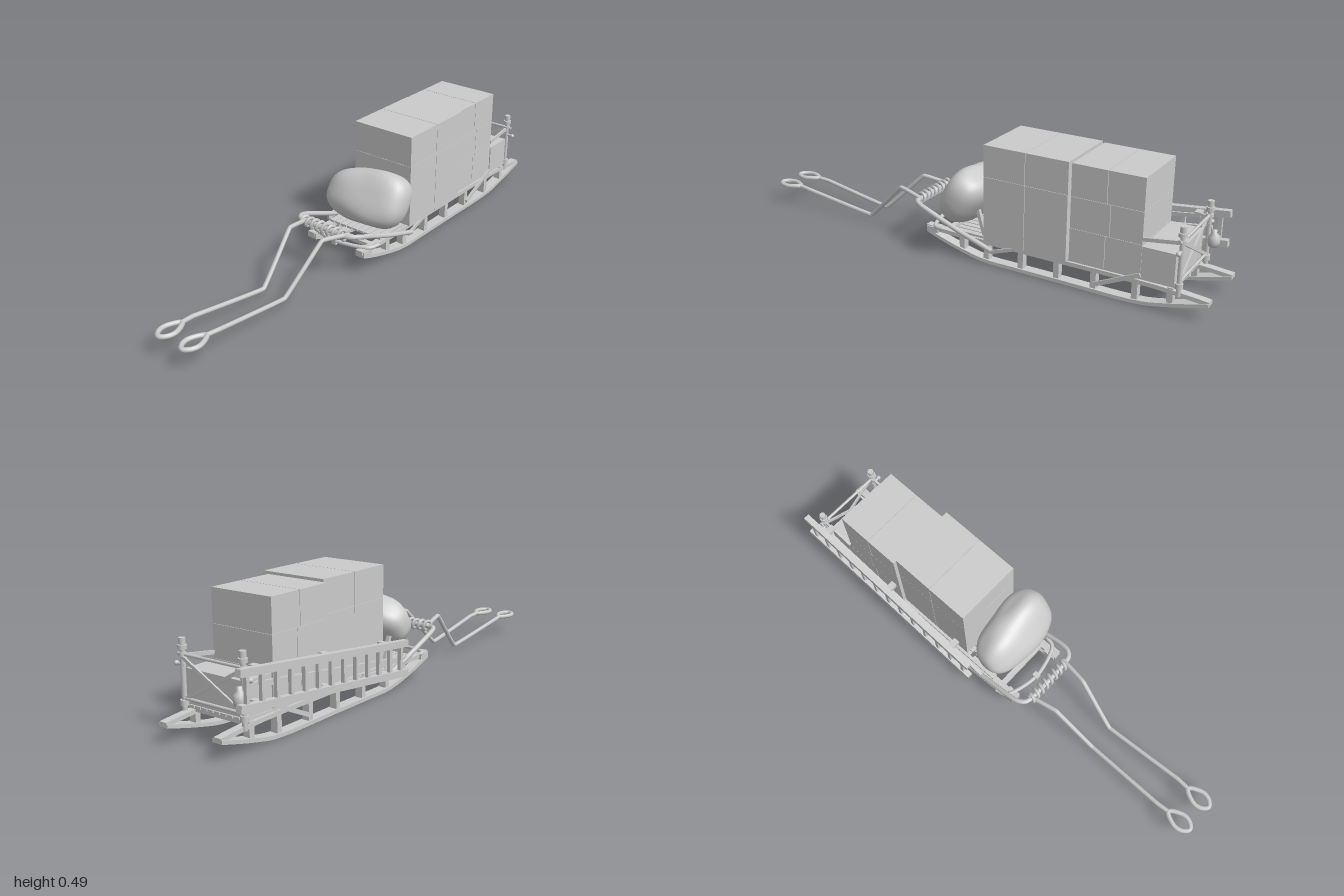
import * as THREE from 'three';

const mat = new THREE.MeshStandardMaterial({ color: 0xcccccc });
const flat = new THREE.MeshStandardMaterial({ color: 0xcccccc, flatShading: true });
const CX = -0.0125; // centre line of the sled
const V = (x, y, z) => new THREE.Vector3(x, y, z);

export function createModel() {
  const group = new THREE.Group();
  const add = (name, geo, m = mat) => {
    const mesh = new THREE.Mesh(geo, m);
    mesh.name = name;
    group.add(mesh);
    return mesh;
  };
  // box given by its limits
  const block = (name, x0, x1, y0, y1, z0, z1) =>
    add(name, new THREE.BoxGeometry(x1 - x0, y1 - y0, z1 - z0), flat)
      .position.set((x0 + x1) / 2, (y0 + y1) / 2, (z0 + z1) / 2);
  // square beam between two points
  const beam = (name, a, b, w, h = w) => {
    const m = add(name, new THREE.BoxGeometry(w, h, a.distanceTo(b)), flat);
    m.position.copy(a).add(b).multiplyScalar(0.5);
    m.lookAt(b);
  };
  // round rod between two points
  const rod = (name, a, b, r) => {
    const m = add(name, new THREE.CylinderGeometry(r, r, a.distanceTo(b), 8));
    m.position.copy(a).add(b).multiplyScalar(0.5);
    m.quaternion.setFromUnitVectors(V(0, 1, 0), b.clone().sub(a).normalize());
  };
  const tube = (name, pts, r, { n = 64, closed = false, tension = 0.5, sides = 8 } = {}) =>
    add(name, new THREE.TubeGeometry(
      new THREE.CatmullRomCurve3(pts, closed, 'catmullrom', tension), n, r, sides, closed));
  // curved strip in the z-y plane, extruded across x
  const strip = (name, x, width, thick, pts) => {
    const c = new THREE.SplineCurve(pts.map(p => new THREE.Vector2(...p))).getPoints(28);
    const top = c.map(p => new THREE.Vector2(p.x, p.y + thick)).reverse();
    const geo = new THREE.ExtrudeGeometry(new THREE.Shape([...c, ...top]),
      { depth: width, bevelEnabled: false });
    geo.translate(0, 0, -width / 2).rotateY(-Math.PI / 2);
    add(name, geo, flat).position.x = x;
  };

  // runners, upper rails, uprights and braces
  for (const s of [-1, 1]) {
    const x = CX + s * 0.1215;
    strip('runner', x, 0.042, 0.014, [[0.15, 0.07], [0.05, 0.037], [-0.1, 0.003], [-0.25, 0],
      [-0.45, 0], [-0.72, 0], [-0.85, 0.02], [-1, 0.058]]);
    strip('upperRail', x, 0.03, 0.016, [[0.155, 0.083], [0.05, 0.077], [-0.3, 0.076],
      [-0.75, 0.076], [-0.88, 0.07], [-1, 0.06]]);
    for (const z of [-0.01, -0.12, -0.27, -0.42, -0.57, -0.73, -0.86]) {
      const y0 = z > -0.05 ? 0.025 : z < -0.8 ? 0.024 : 0.008;
      block('upright', x - 0.014, x + 0.014, y0, 0.08, z - 0.011, z + 0.011);
    }
    beam('diagonalBrace', V(x + s * 0.018, 0.03, -0.57), V(x + s * 0.018, 0.115, -0.75), 0.008, 0.016);
    beam('diagonalBrace', V(x + s * 0.018, 0.05, -0.14), V(x + s * 0.018, 0.1, -0.28), 0.008, 0.014);
    block('runnerTip', x - 0.021, x + 0.021, 0.072, 0.094, 0.1, 0.15);
  }

  // deck: cross bars and lengthwise slats
  for (const z of [0.07, -0.01, -0.12, -0.27, -0.42, -0.57, -0.73, -0.86])
    block('crossBar', CX - 0.135, CX + 0.135, 0.078, 0.093, z - 0.011, z + 0.011);
  for (let i = 0; i < 9; i++) {
    const x = CX - 0.116 + i * 0.029;
    block('deckSlat', x - 0.012, x + 0.012, 0.093, 0.102, -0.88, 0.03);
  }

  // front cross tube
  tube('frontCrossTube', [V(-0.165, 0.1, 0.07), V(-0.14, 0.1, 0.12), V(CX, 0.1, 0.15),
    V(0.115, 0.1, 0.12), V(0.14, 0.1, 0.07)], 0.008);
  block('crossTubeClamp', CX - 0.011, CX + 0.011, 0.088, 0.112, 0.137, 0.161);

  // towing bow with its side arms running down to the frame
  const half = [[0.148, 0.06, -0.15], [0.148, 0.11, 0], [0.15, 0.165, 0.14], [0.14, 0.18, 0.19], [0.1, 0.18, 0.212]];
  tube('towBow', [...half.map(([x, y, z]) => V(CX - x, y, z)),
    ...half.slice().reverse().map(([x, y, z]) => V(CX + x, y, z))], 0.01, { n: 90, tension: 0.4 });
  const coil = [];
  for (let i = 0; i <= 88; i++) {
    const a = i / 88 * Math.PI * 2 * 8;
    coil.push(V(CX - 0.105 + 0.21 * i / 88, 0.182 + 0.018 * Math.sin(a), 0.212 + 0.018 * Math.cos(a)));
  }
  tube('bowLashing', coil, 0.007, { n: 240, sides: 6 });

  // pull shafts with teardrop hand loops
  for (const s of [-1, 1]) {
    const P = (x, y, z) => V(CX + s * x, y, z);
    tube('pullShaft', [P(0.1, 0.18, 0.2), P(0.08, 0.2, 0.32), P(0.053, 0.03, 0.5),
      P(0.064, 0.078, 0.83), P(0.06, 0.083, 0.885)], 0.009, { n: 120, tension: 0.06 });
    tube('handLoop', [P(0.06, 0.083, 0.885), P(0.032, 0.083, 0.93), P(0.034, 0.083, 0.967),
      P(0.058, 0.083, 0.99), P(0.083, 0.083, 0.967), P(0.086, 0.083, 0.93)], 0.0095,
    { n: 40, closed: true });
  }

  // stacked cargo boxes: x0, x1, y0, y1, z0, z1
  const g = 0.001;
  for (const [x0, x1, y0, y1, z0, z1] of [
    [-0.13, 0.147, 0.102, 0.36, -0.295, -0.12], [-0.13, 0.147, 0.36, 0.485, -0.295, -0.12],
    [-0.13, 0.147, 0.102, 0.36, -0.47, -0.295], [-0.13, 0.147, 0.36, 0.485, -0.47, -0.295],
    [-0.143, 0.125, 0.102, 0.228, -0.61, -0.47], [-0.143, 0.125, 0.102, 0.228, -0.75, -0.61],
    [-0.143, 0.125, 0.228, 0.35, -0.625, -0.47], [-0.143, 0.125, 0.228, 0.35, -0.75, -0.625],
    [-0.143, 0.125, 0.35, 0.475, -0.61, -0.47], [-0.143, 0.125, 0.35, 0.475, -0.75, -0.61],
    [-0.138, 0.128, 0.102, 0.225, -0.875, -0.75],
  ]) block('cargoBox', x0 + g, x1 - g, y0, y1 - g, z0 + g, z1 - g);

  // bulging sack leaning on the front boxes
  const sack = new THREE.SphereGeometry(1, 40, 28);
  const pos = sack.attributes.position;
  const pw = (v, e) => Math.sign(v) * Math.abs(v) ** e;
  for (let i = 0; i < pos.count; i++) {
    const x = pos.getX(i), y = pos.getY(i), z = pos.getZ(i);
    const k = (Math.abs(x) ** 2.8 + Math.abs(y) ** 2.8 + Math.abs(z) ** 2.8) ** (-1 / 2.8);
    const ux = x * k, uy = pw(y * k, 1), uz = z * k;
    const grow = 0.9 + 0.13 * ux;
    const lump = 1 + 0.025 * Math.sin(5 * ux + 3 * uy) * Math.cos(4 * uz);
    pos.setXYZ(i, ux * 0.177, uy * 0.122 * grow * lump + 0.014 * ux, uz * 0.082 * lump);
  }
  sack.rotateX(-0.56);
  sack.computeVertexNormals();
  add('sack', sack).position.set(0.025, 0.242, -0.008);
  beam('sackStay', V(-0.12, 0.1, -0.1), V(-0.12, 0.2, -0.07), 0.014);
  beam('sackStay', V(0.1, 0.1, -0.1), V(0.1, 0.2, -0.07), 0.014);

  // rear posts with collars, pegs and cross bracing
  const zr = -0.89;
  for (const s of [-1, 1]) {
    const x = CX + s * 0.135;
    rod('rearPost', V(x, 0.07, zr), V(x, 0.32, zr), 0.009);
    for (const [y, r, h] of [[0.11, 0.015, 0.02], [0.275, 0.014, 0.012], [0.3, 0.016, 0.014], [0.32, 0.012, 0.022]])
      add('postCollar', new THREE.CylinderGeometry(r, r, h, 10)).position.set(x, y, zr);
    rod('postPeg', V(x - 0.01 * s, 0.24, zr), V(x + 0.03 * s, 0.24, zr), 0.005);
    add('pegKnob', new THREE.SphereGeometry(0.009, 10, 8)).position.set(x + 0.03 * s, 0.24, zr);
    beam('rearStay', V(x, 0.27, zr), V(x, 0.25, -0.75), 0.008, 0.014);
    beam('rearBrace', V(x, 0.12, zr), V(CX - s * 0.135, 0.27, zr + 0.006 * s), 0.007, 0.012);
  }
  rod('rearBar', V(CX - 0.155, 0.275, zr), V(CX + 0.155, 0.275, zr), 0.006);
  rod('rearBar', V(CX - 0.14, 0.125, zr), V(CX + 0.14, 0.125, zr), 0.006);
  const flask = add('hangingFlask', new THREE.LatheGeometry([[0, -0.03], [0.018, -0.027], [0.023, -0.01],
    [0.021, 0.012], [0.009, 0.024], [0.009, 0.036], [0, 0.036]].map(p => new THREE.Vector2(...p)), 14));
  flask.position.set(-0.15, 0.185, -0.912);

  // ladder carried along the side, lower at the front
  const ladder = (t, v) => V(-0.187, 0.065 + 0.1 * t + 0.115 * v, -0.055 - 0.9 * t);
  for (const v of [0, 1]) beam('ladderRail', ladder(0, v), ladder(1, v), 0.024, 0.026);
  for (let i = 0; i < 13; i++) {
    const t = 0.04 + 0.92 * i / 12;
    beam('ladderRung', ladder(t, 0), ladder(t, 1), 0.014, 0.014);
  }
  // brackets and side slats holding the ladder
  for (const t of [0.12, 0.5, 0.88]) for (const v of [0, 1]) {
    const p = ladder(t, v);
    block('ladderBracket', -0.185, -0.14, p.y - 0.01, p.y + 0.01, p.z - 0.012, p.z + 0.012);
  }
  beam('sideSlat', V(-0.16, 0.1, 0.02), V(-0.16, 0.22, -0.9), 0.012, 0.02);
  return group;
}
